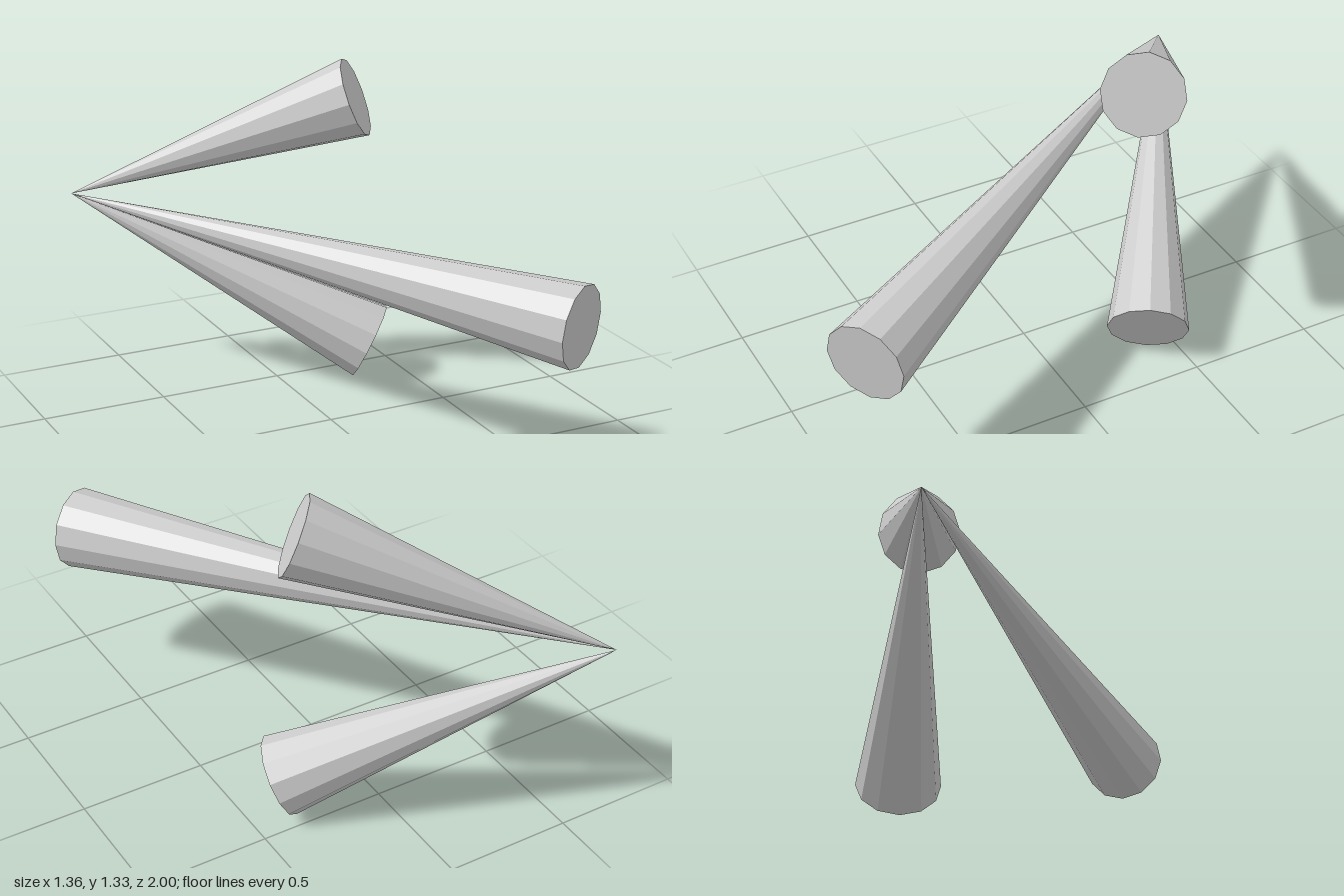
import * as THREE from 'three';

// Three low-poly cones fanning out from one shared tip
export function createModel() {
  const group = new THREE.Group();
  const material = new THREE.MeshStandardMaterial({ color: 0xcccccc, flatShading: true });
  const tip = new THREE.Vector3(-0.68, 0.74, -1);
  const up = new THREE.Vector3(0, 1, 0);
  const radius = 0.16;

  // A closed cone from the centre of its base to the shared tip
  function addCone(name, x, y, z) {
    const base = new THREE.Vector3(x, y, z);
    const axis = tip.clone().sub(base);
    const cone = new THREE.Mesh(new THREE.ConeGeometry(radius, axis.length(), 12), material);
    cone.name = name;
    cone.position.copy(base).add(tip).multiplyScalar(0.5);
    cone.quaternion.setFromUnitVectors(up, axis.normalize());
    group.add(cone);
  }

  addCone('upperCone', 0.278, 1.187, -0.345);
  addCone('middleCone', 0.545, 0.613, 0.914);
  addCone('lowerCone', 0.353, 0.147, -0.36);
  return group;
}
